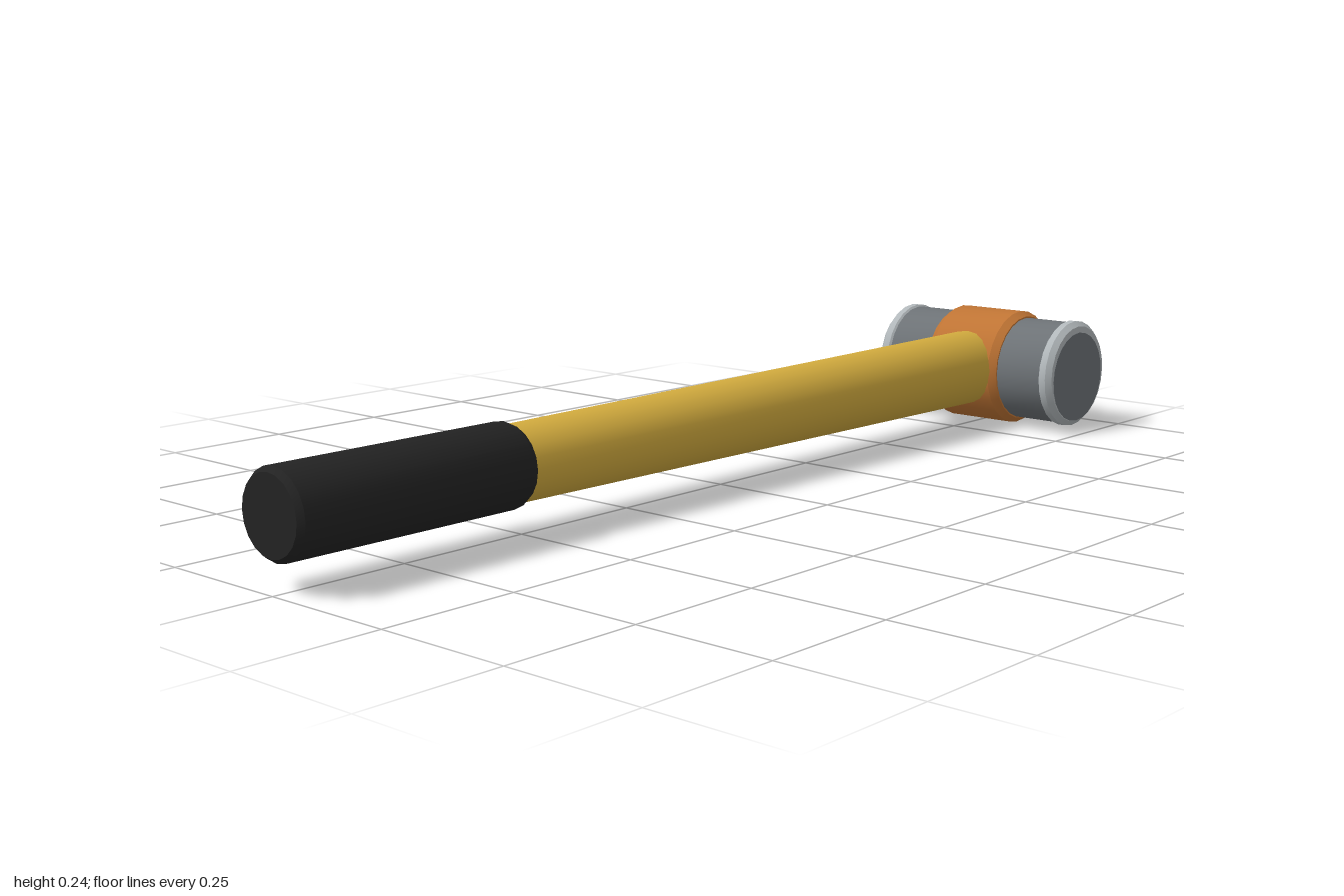
import * as THREE from 'three';
import { toCreasedNormals } from 'three/addons/utils/BufferGeometryUtils.js';

const material = (name, color) => {
  const m = new THREE.MeshStandardMaterial({ color });
  m.name = name;
  return m;
};

// Turned solid: profile of [radius, height] pairs from bottom to top
const turned = (profile, sides) => toCreasedNormals(
  new THREE.LatheGeometry(profile.map(([r, h]) => new THREE.Vector2(r, h)), sides), 0.5);

export function createModel() {
  const steel = material('steel grey', 0x6d7276);
  const bright = material('worn bright steel', 0xb2b8bb);
  const copper = material('orange paint', 0xbf7434);
  const yellow = material('yellow shaft', 0xd2ab3e);
  const rubber = material('black rubber', 0x232323);

  const model = new THREE.Group();
  model.name = 'hammer';
  const axisY = 0.119, headX = 0.881;

  const add = (parent, name, geometry, mat) => {
    const mesh = new THREE.Mesh(geometry, mat);
    mesh.name = name;
    parent.add(mesh);
    return mesh;
  };

  // Handle, running along x
  const handle = new THREE.Group();
  handle.name = 'handle';
  handle.position.y = axisY + 0.003;
  model.add(handle);
  const grip = turned([[0, -1], [0.066, -1], [0.074, -0.99], [0.074, -0.535],
    [0.069, -0.525], [0, -0.525]], 20).rotateZ(-Math.PI / 2);
  const shaft = turned([[0, -0.54], [0.066, -0.54], [0.077, 0.84], [0, 0.84]], 20)
    .rotateZ(-Math.PI / 2);
  add(handle, 'grip', grip, rubber);
  add(handle, 'shaft', shaft, yellow);

  // Head, running along z
  const head = new THREE.Group();
  head.name = 'head';
  head.position.set(headX, axisY, 0);
  model.add(head);
  const band = turned([[0.104, -0.088], [0.109, -0.088], [0.119, -0.073],
    [0.119, 0.073], [0.109, 0.088], [0.104, 0.088]], 24).rotateX(Math.PI / 2);
  add(head, 'centreBand', band, copper);

  // Matching striking ends
  for (const side of [1, -1]) {
    const end = new THREE.Group();
    end.name = side > 0 ? 'frontEnd' : 'backEnd';
    head.add(end);
    const turn = side * Math.PI / 2;
    add(end, 'barrel', turned([[0.106, 0.07], [0.106, 0.19]], 24).rotateX(turn), steel);
    add(end, 'rim', turned([[0.104, 0.188], [0.11, 0.193], [0.11, 0.207],
      [0.1, 0.217], [0, 0.217]], 24).rotateX(turn), bright);
    // Striking face, set low so that more of the worn edge shows above it
    const face = new THREE.CylinderGeometry(0.093, 0.093, 0.002, 24).rotateX(turn);
    add(end, 'strikingFace', face, steel).position.set(0, -0.006, side * 0.217);
  }

  return model;
}
